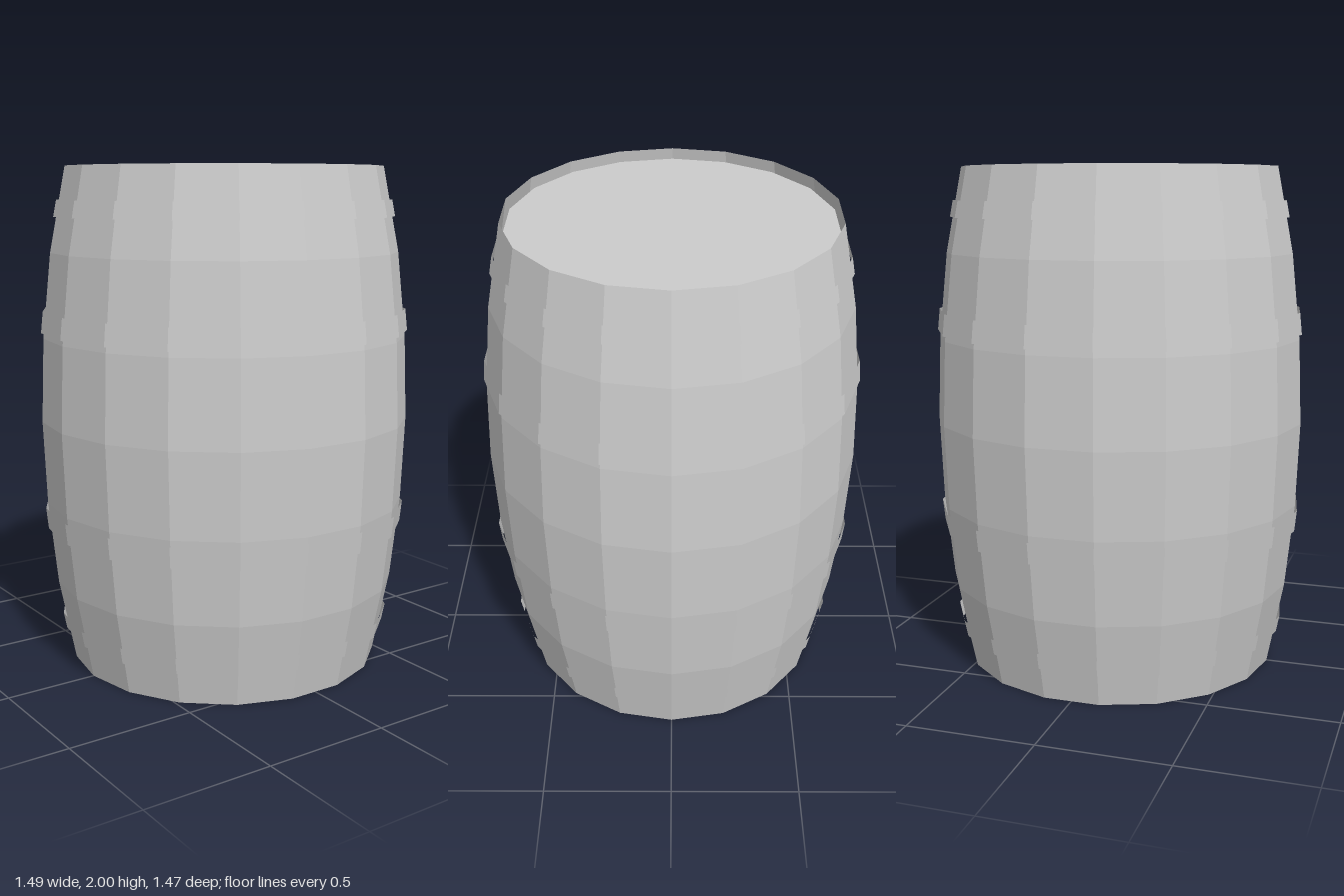
import * as THREE from 'three';

const SIDES = 18;

// Bulging stave profile, bottom to top: [radius, height]
const PROFILE = [
  [0.632, 0], [0.697, 0.333], [0.732, 0.667], [0.745, 1],
  [0.732, 1.333], [0.697, 1.667], [0.632, 2],
];

// Radius of the barrel wall at height y
function radiusAt(y) {
  const i = PROFILE.findIndex(([, h], k) => k > 0 && y <= h);
  const [r0, y0] = PROFILE[i - 1];
  const [r1, y1] = PROFILE[i];
  return r0 + (r1 - r0) * (y - y0) / (y1 - y0);
}

// Open faceted ring with a corner on the x axis
function ring(points) {
  const geometry = new THREE.LatheGeometry(points.map(([r, y]) => new THREE.Vector2(r, y)), SIDES);
  return geometry.rotateY(Math.PI / 2);
}

export function createModel() {
  const barrel = new THREE.Group();
  barrel.name = 'barrel';

  const grey = new THREE.MeshStandardMaterial({
    color: 0xcccccc, flatShading: true, side: THREE.DoubleSide,
  });
  grey.name = 'light grey';

  function add(name, geometry) {
    const mesh = new THREE.Mesh(geometry, grey);
    mesh.name = name;
    barrel.add(mesh);
    return mesh;
  }

  // Wall of staves
  add('staves', ring(PROFILE));

  // Lids, set slightly inside the rims
  add('topLid', new THREE.CircleGeometry(0.62, SIDES).rotateX(-Math.PI / 2)).position.y = 1.96;
  add('bottomLid', new THREE.CircleGeometry(0.62, SIDES).rotateX(Math.PI / 2)).position.y = 0.04;

  // Hoops, mirrored about the middle
  const hoops = [['endHoop', 0.13, 0.195], ['middleHoop', 0.56, 0.645]];
  for (const [name, low, high] of hoops) {
    for (const [prefix, a, b] of [['lower', low, high], ['upper', 2 - high, 2 - low]]) {
      const points = [a, b].map((y) => [radiusAt(y) + 0.011, y]);
      add(`${prefix} ${name}`, ring(points));
    }
  }

  return barrel;
}
